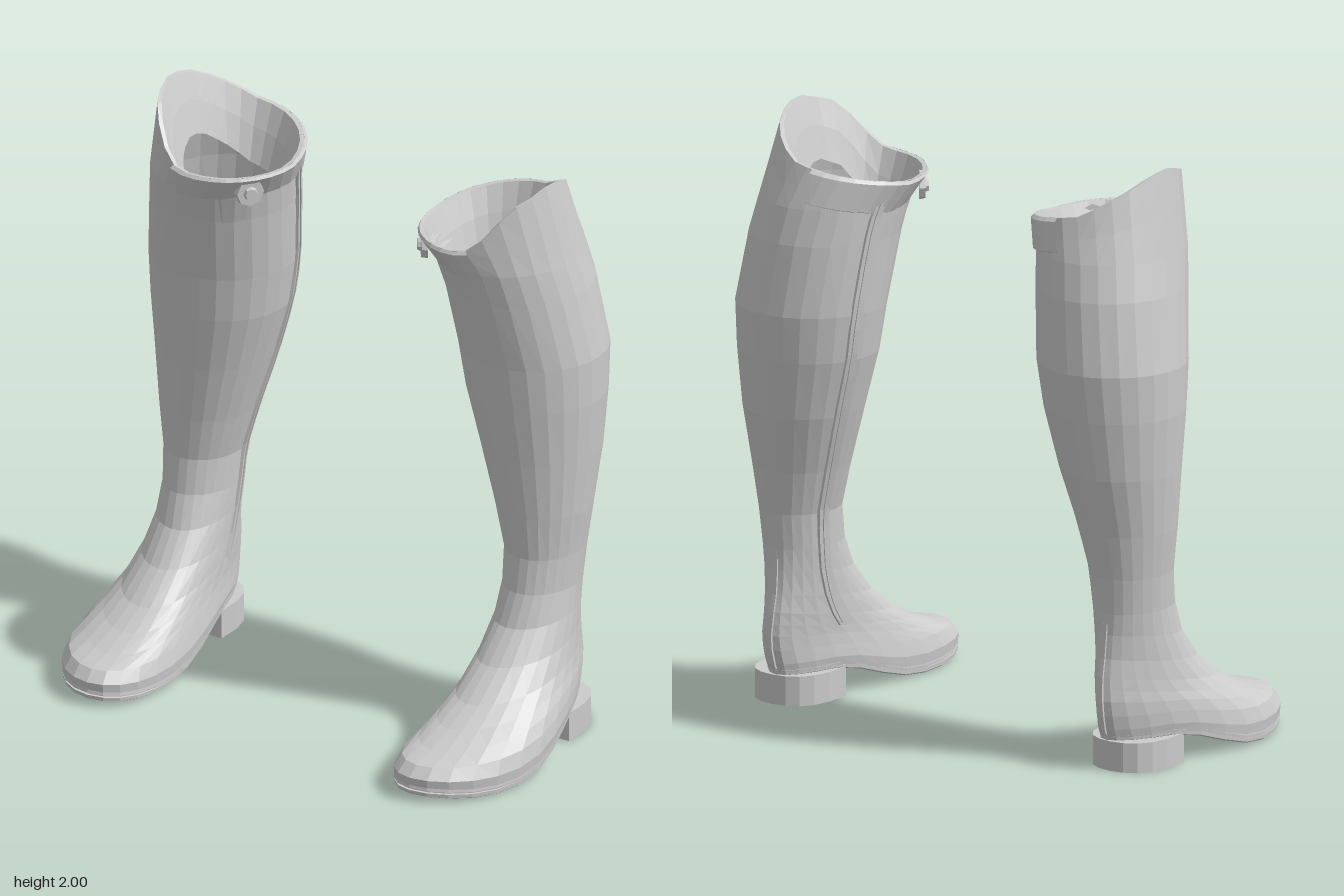
import * as THREE from 'three';

const SIDES = 26;
const rad = THREE.MathUtils.degToRad;
const material = new THREE.MeshStandardMaterial({ color: 0xcccccc, flatShading: true, side: THREE.DoubleSide });

// Piecewise linear lookup in [key, value] pairs with rising keys
function lookup(table, k) {
  for (let i = 1; i < table.length; i++) {
    const [k0, v0] = table[i - 1], [k1, v1] = table[i];
    if (k <= k1) return v0 + (v1 - v0) * Math.max(0, (k - k0) / (k1 - k0));
  }
  return table[table.length - 1][1];
}

// Underside of the foot: height by z
const soleY = (z) => lookup([[-0.15, 0.1], [0, 0.05], [0.05, 0.03], [0.17, 0.003], [0.35, 0.004], [0.51, 0.022]], z);

// Height of the top edge by angle (0 = front, 90 = outer side, 180 = back)
const rimY = (deg) => lookup([[0, 1.8], [20, 1.815], [35, 1.89], [53, 1.96], [85, 2], [105, 1.99],
  [130, 1.94], [165, 1.865], [270, 1.79], [360, 1.8]], ((deg % 360) + 360) % 360);

// Tilted foot sections: yBack, yFront, zBack, zFront, xInner, xOuter
const FOOT = [
  [0.105, 0.045, -0.375, 0.505, 0.5, 0.88],
  [0.14, 0.085, -0.388, 0.51, 0.495, 0.885],
  [0.19, 0.122, -0.4, 0.475, 0.507, 0.875],
  [0.24, 0.145, -0.405, 0.39, 0.52, 0.858],
  [0.28, 0.175, -0.402, 0.29, 0.53, 0.838],
  [0.32, 0.225, -0.397, 0.19, 0.538, 0.82],
  [0.38, 0.315, -0.385, 0.07, 0.545, 0.803],
  [0.46, 0.42, -0.377, -0.022, 0.548, 0.793],
];
// Level shaft sections: y, zBack, zFront, xInner, xOuter
const SHAFT = [
  [0.53, -0.375, -0.066, 0.546, 0.79],
  [0.65, -0.385, -0.085, 0.54, 0.8],
  [0.8, -0.41, -0.075, 0.5, 0.82],
  [1, -0.46, -0.055, 0.44, 0.84],
  [1.2, -0.49, -0.03, 0.385, 0.855],
  [1.36, -0.507, -0.01, 0.36, 0.858],
  [1.6, -0.482, 0.04, 0.335, 0.823],
  [1.72, -0.455, 0.07, 0.318, 0.8],
  [2, -0.41, 0.1, 0.282, 0.748],
];
const RINGS = [...FOOT, ...SHAFT.map(([y, ...extent]) => [y, y, ...extent])];
const TOP = RINGS.length - 1;

function ringPoint(deg, r, offset) {
  const [yB, yF, zB, zF, x0, x1] = RINGS[r];
  // Egg outline and sole bend fade out towards the ankle
  const egg = 0.28 * Math.max(0, 1 - (r / FOOT.length) ** 2);
  const bend = Math.max(0, 1 - r / 4);
  const s = Math.sin(rad(deg)), c = Math.cos(rad(deg));
  const rx = (x1 - x0) / 2, rz = (zF - zB) / 2;
  const width = (1 + egg * c) / (1 + egg * egg * 0.45);
  const x = (x0 + x1) / 2 + (rx + offset) * s * width - egg * 0.2 * c * c * (c > 0 ? 1 : 0.4);
  const z = (zF + zB) / 2 + (rz + offset) * c;
  if (r === TOP) return new THREE.Vector3(x, rimY(deg), z);
  const straight = 0.1 - 0.078 * (z + 0.4) / 0.91;
  return new THREE.Vector3(x, yB + (yF - yB) * (1 + c) / 2 + bend * (soleY(z) - straight), z);
}

// Point on the boot surface; v runs through the rings
function surface(deg, v) {
  const r = Math.min(Math.floor(v), TOP - 1);
  return ringPoint(deg, r, 0).lerp(ringPoint(deg, r + 1, 0), v - r);
}

const outward = (deg) => new THREE.Vector3(Math.sin(rad(deg)), 0, Math.cos(rad(deg)));

// Quad grid from a point function
function grid(rows, cols, point) {
  const pos = [], index = [];
  for (let i = 0; i <= rows; i++)
    for (let j = 0; j <= cols; j++) pos.push(...point(i, j).toArray());
  for (let i = 0; i < rows; i++)
    for (let j = 0; j < cols; j++) {
      const a = i * (cols + 1) + j, d = a + cols + 1;
      index.push(a, a + 1, d, a + 1, d + 1, d);
    }
  const geo = new THREE.BufferGeometry();
  geo.setAttribute('position', new THREE.Float32BufferAttribute(pos, 3));
  geo.setIndex(index);
  return geo;
}

// Narrow raised strip running up the boot
function strip(deg, halfWidth, v0, v1, height) {
  const rows = Math.round((v1 - v0) * 2);
  const profile = [[-1, -0.004], [-0.9, height], [0.9, height], [1, -0.004]];
  return grid(rows, 3, (i, j) => {
    const v = v0 + (v1 - v0) * i / rows;
    const side = surface(deg + 1, v).sub(surface(deg - 1, v)).normalize();
    const out = new THREE.Vector3(-side.z, 0, side.x).normalize();
    if (out.dot(outward(deg)) < 0) out.negate();
    return surface(deg, v).addScaledVector(side, profile[j][0] * halfWidth).addScaledVector(out, profile[j][1]);
  });
}

function bootParts() {
  const angle = (j) => 360 * j / SIDES;
  const parts = {};

  // Leather shell of foot and shaft
  const levels = [...RINGS.keys()].slice(0, TOP).concat(TOP - 0.5, TOP);
  parts.upper = grid(levels.length - 1, SIDES, (i, j) => surface(angle(j), levels[i]));

  // Lining folded in from the top edge
  const fold = [[0, 0], [0.014, 0.002], [0.05, 0.09], [0.085, 0.2]];
  parts.lining = grid(fold.length - 1, SIDES, (i, j) => {
    const p = ringPoint(angle(j), TOP, -fold[i][0]);
    p.y -= fold[i][1];
    return p;
  });

  // Sole edge with a groove under the welt
  const edge = [[0, 0.975], [0.004, 1], [0.017, 1.005], [0.018, 0.98], [0.024, 0.98], [0.025, 1.01], [0.036, 1.005]];
  const solePoint = (deg, [h, scale]) => {
    const p = surface(deg, 0);
    const x = 0.685 + (p.x - 0.685) * scale, z = 0.065 + (p.z - 0.065) * scale;
    return new THREE.Vector3(x, soleY(z) + h * (z < -0.1 ? 0.7 : 1), z);
  };
  parts.soleEdge = grid(edge.length - 1, SIDES, (i, j) => solePoint(angle(j), edge[i]));
  parts.soleBottom = grid(SIDES / 2, 1, (i, j) => solePoint(j ? angle(i) : -angle(i), edge[0]));

  // Heel block: flat breast, rounded back
  const heel = new THREE.Shape();
  heel.moveTo(-0.135, 0.15);
  heel.lineTo(0.135, 0.15);
  heel.lineTo(0.135, 0.24);
  heel.bezierCurveTo(0.125, 0.34, 0.07, 0.375, 0, 0.375);
  heel.bezierCurveTo(-0.07, 0.375, -0.125, 0.34, -0.135, 0.24);
  parts.heel = new THREE.ExtrudeGeometry(heel, { depth: 0.1, bevelEnabled: false, curveSegments: 4 })
    .rotateX(-Math.PI / 2).translate(0.683, 0, 0);

  // Cuff band round the inner half of the top
  const band = [[-0.004, 0.105], [0.01, 0.1], [0.012, 0.01], [0, 0]];
  parts.cuff = grid(band.length - 1, 16, (i, j) => {
    const deg = 185 + 190 * j / 16;
    const p = ringPoint(deg, TOP, 0), low = surface(deg, TOP - 1);
    return p.lerp(low, band[i][1] / (p.y - low.y)).addScaledVector(outward(deg), band[i][0]);
  });

  // Snap tab and stud on the cuff
  const snap = (r0, r1, depth, out) => {
    const p = surface(-52, TOP - 0.6).addScaledVector(outward(-52), out);
    return new THREE.CylinderGeometry(r0, r1, depth, 8).rotateX(Math.PI / 2)
      .rotateY(rad(-52)).translate(p.x, p.y - 0.015, p.z);
  };
  parts.snapTab = snap(0.046, 0.05, 0.02, 0.014);
  parts.snapStud = snap(0.02, 0.026, 0.016, 0.028);

  // Zip on the inner side and seam up the back
  parts.zipFlap = strip(-108, 0.022, 4, TOP - 0.8, 0.007);
  parts.zipTeeth = strip(-108, 0.006, 4.2, TOP - 0.8, 0.011);
  parts.backSeam = strip(180, 0.008, 0.5, 7.5, 0.004);
  return parts;
}

// Mirror a triangle list across x, keeping its faces outward
function mirror(geo) {
  geo.scale(-1, 1, 1);
  const p = geo.getAttribute('position'), a = new THREE.Vector3(), c = new THREE.Vector3();
  for (let i = 0; i < p.count; i += 3) {
    a.fromBufferAttribute(p, i);
    c.fromBufferAttribute(p, i + 2);
    p.setXYZ(i, c.x, c.y, c.z).setXYZ(i + 2, a.x, a.y, a.z);
  }
}

export function createModel() {
  const model = new THREE.Group();
  model.name = 'ridingBoots';
  for (const side of ['left', 'right']) {
    const boot = new THREE.Group();
    boot.name = side + 'Boot';
    for (const [name, source] of Object.entries(bootParts())) {
      const geo = source.index ? source.toNonIndexed() : source;
      if (side === 'right') mirror(geo);
      geo.computeVertexNormals();
      const mesh = new THREE.Mesh(geo, material);
      mesh.name = name;
      boot.add(mesh);
    }
    model.add(boot);
  }
  return model;
}
